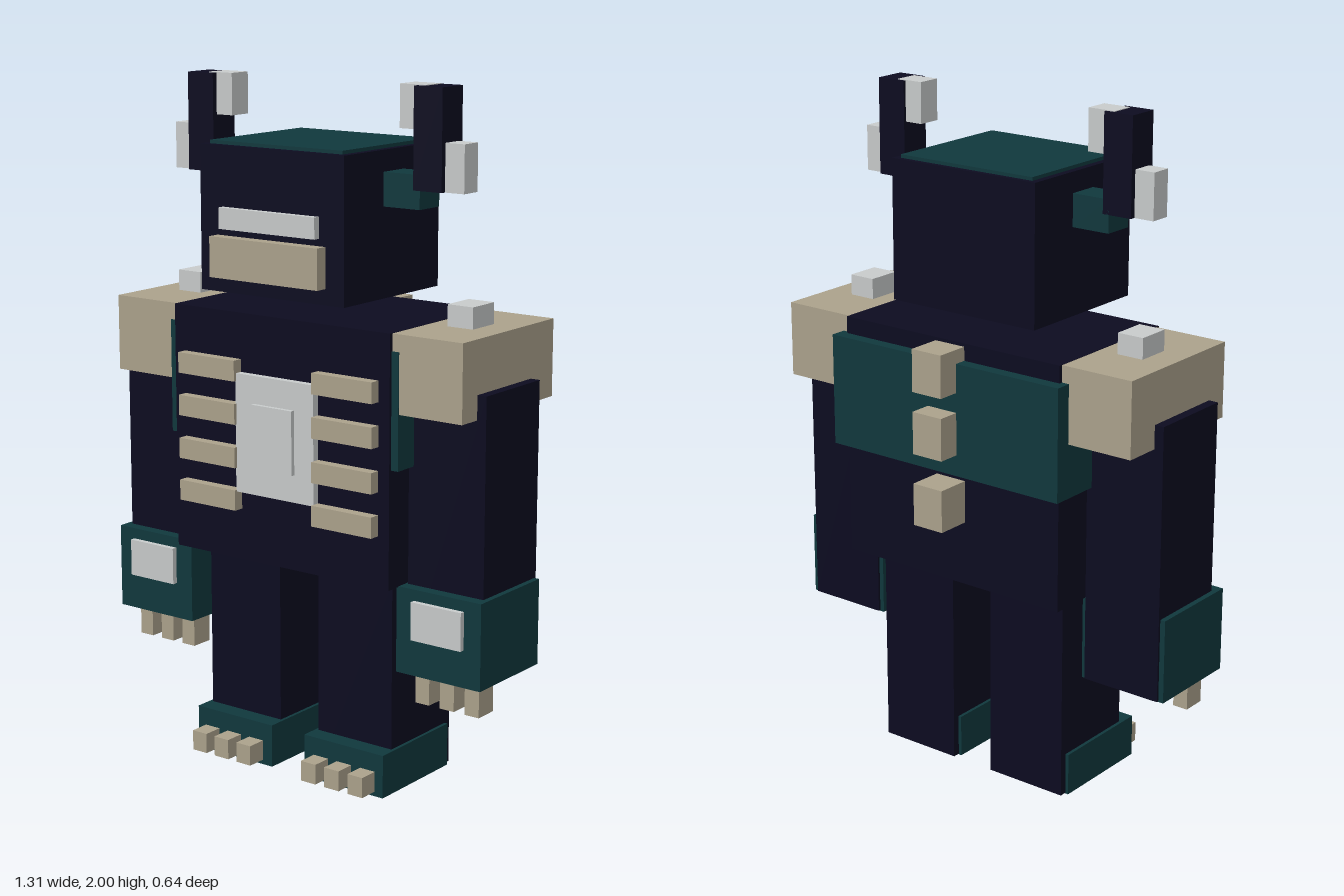
import * as THREE from 'three';

export function createModel() {
  const model = new THREE.Group();
  model.name = 'robot';

  const paint = (name, color) => {
    const m = new THREE.MeshStandardMaterial({ color });
    m.name = name;
    return m;
  };
  const navy = paint('navy', 0x0c0b20);
  const teal = paint('teal', 0x10383d);
  const bone = paint('bone', 0xaca28c);
  const silver = paint('silver', 0xc8cbcb);

  // Box given by its [min, max] along each axis
  const box = (name, mat, x, y, z, parent = model) => {
    const g = new THREE.BoxGeometry(x[1] - x[0], y[1] - y[0], z[1] - z[0]);
    const mesh = new THREE.Mesh(g, mat);
    mesh.position.set((x[0] + x[1]) / 2, (y[0] + y[1]) / 2, (z[0] + z[1]) / 2);
    mesh.name = name;
    parent.add(mesh);
  };
  const around = (c, w) => [c - w / 2, c + w / 2];

  // Head, floating just above the torso
  box('head', navy, [-0.25, 0.25], [1.41, 1.82], [-0.16, 0.285]);
  box('headCap', teal, [-0.23, 0.23], [1.8, 1.83], [-0.145, 0.265]);
  box('visor', silver, [-0.17, 0.165], [1.59, 1.65], [0.27, 0.305]);
  box('jaw', bone, [-0.19, 0.187], [1.455, 1.57], [0.27, 0.322]);

  // Torso with its chest band, core plate and back spikes
  box('torso', navy, [-0.38, 0.38], [0.63, 1.35], [-0.218, 0.253]);
  box('chestBand', teal, [-0.403, 0.403], [0.97, 1.3], [-0.255, 0.245]);
  box('corePlate', silver, [-0.14, 0.137], [0.835, 1.18], [0.24, 0.275]);
  box('coreInset', silver, [-0.073, 0.07], [0.915, 1.1], [0.26, 0.288]);
  for (const y of [1.278, 1.095, 0.882])
    box('backSpike', bone, [-0.052, 0.05], around(y, 0.125), [-0.322, -0.21]);

  // One side's parts, made for the left (+x) and the right (-x)
  for (const s of [1, -1]) {
    const side = new THREE.Group();
    side.name = s > 0 ? 'leftSide' : 'rightSide';
    model.add(side);
    const part = (name, mat, x, y, z) =>
      box(name, mat, s > 0 ? x : [-x[1], -x[0]], y, z, side);

    // Horn
    part('hornBase', teal, [0.25, 0.37], [1.665, 1.76], [0.012, 0.105]);
    part('horn', navy, [0.35, 0.443], [1.717, 1.998], [0.012, 0.108]);
    part('hornTip', silver, [0.293, 0.378], [1.88, 2], [0.02, 0.092]);
    part('hornSpur', silver, [0.42, 0.505], [1.717, 1.85], [0.028, 0.092]);

    // Ribs
    for (const y of [1.187, 1.062, 0.935, 0.81])
      part('rib', bone, [0.137, 0.343], around(y, 0.06), [0.23, 0.285]);

    // Arm
    part('shoulder', bone, [0.375, 0.608], [1.128, 1.349], [-0.207, 0.242]);
    part('shoulderStud', silver, [0.44, 0.523], [1.34, 1.41], [-0.035, 0.068]);
    part('arm', navy, [0.387, 0.637], [0.384, 1.197], [-0.095, 0.17]);
    part('fist', teal, [0.373, 0.653], [0.382, 0.632], [-0.088, 0.205]);
    part('handPlate', silver, [0.432, 0.598], [0.49, 0.6], [0.19, 0.221]);
    for (const x of [0.43, 0.513, 0.596])
      part('finger', bone, around(x, 0.047), [0.285, 0.39], [0.087, 0.158]);

    // Leg
    part('leg', navy, [0.07, 0.33], [0.002, 0.623], [-0.125, 0.165]);
    part('foot', teal, [0.06, 0.34], [0, 0.128], [-0.103, 0.22]);
    for (const x of [0.12, 0.203, 0.286])
      part('toe', bone, around(x, 0.052), [0.014, 0.074], [0.2, 0.28]);
  }
  return model;
}
